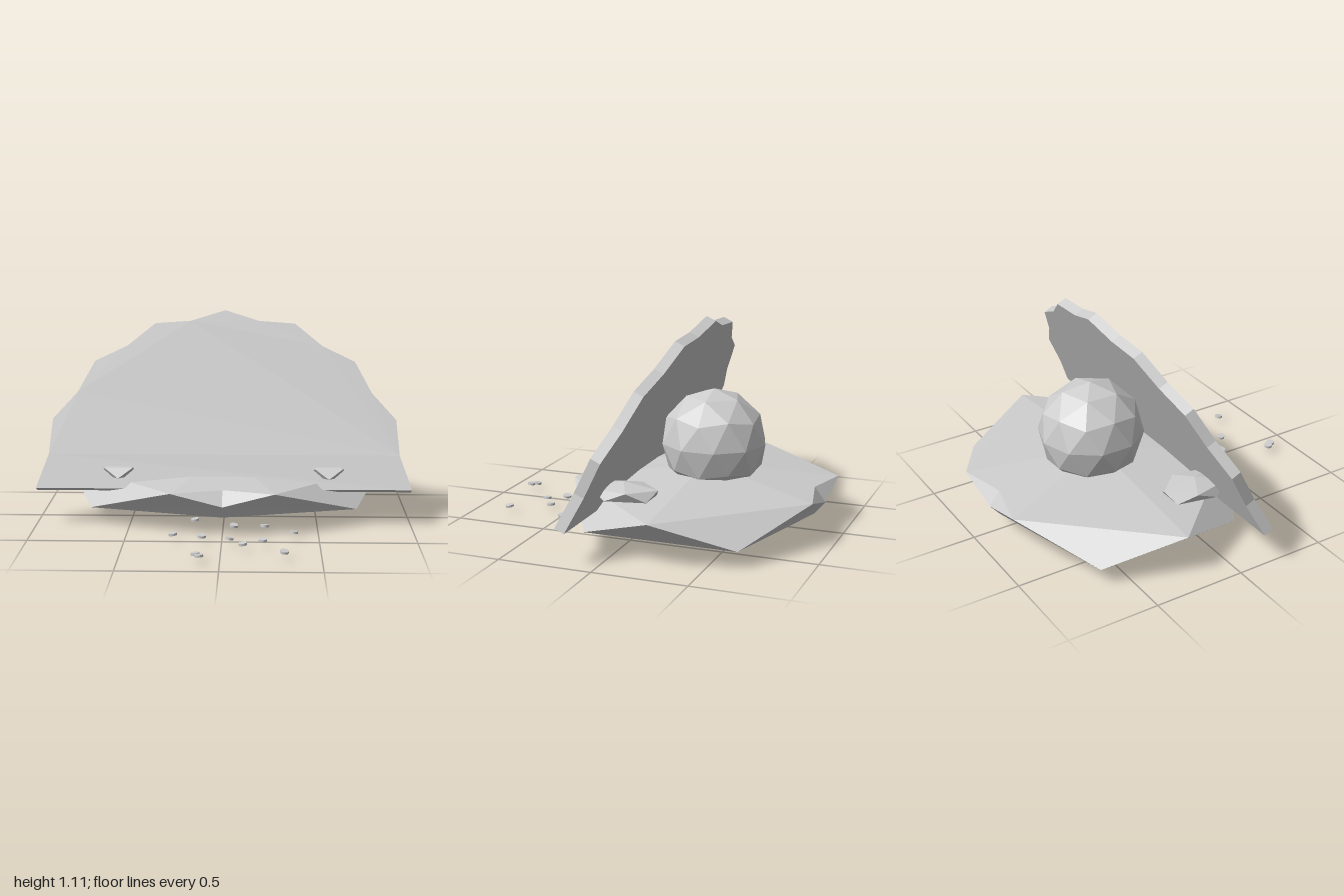
import * as THREE from 'three';

const stone = new THREE.MeshStandardMaterial({ color: 0xcccccc, flatShading: true });
stone.name = 'pale grey';

function addMesh(parent, name, geometry, x = 0, y = 0, z = 0) {
  const mesh = new THREE.Mesh(geometry, stone);
  mesh.name = name;
  mesh.position.set(x, y, z);
  parent.add(mesh);
  return mesh;
}

// Icosphere with a vertex at the top and bottom
function poleIcosphere(radius, detail) {
  return new THREE.IcosahedronGeometry(radius, detail)
    .rotateX(-Math.atan2(0.851, 0.526))
    .rotateY(Math.PI / 2);
}

// Lower shell: one quadrant of facets, mirrored in x and z
function lowerShellGeometry() {
  const v = {
    bottom: [0, 0, 0], low: [0.71, 0.09, 0.408], lowSide: [0.71, 0.09, 0],
    lowFront: [0, 0.09, 0.6], notch: [0, 0.16, 0.66], rim: [0.27, 0.23, 0.66],
    rimSide: [0.875, 0.23, 0], notchTop: [0, 0.237, 0.6], top: [0, 0.31, 0],
  };
  const faces = [
    ['bottom', 'low', 'lowFront'], ['bottom', 'lowSide', 'low'],
    ['lowSide', 'rimSide', 'low'], ['low', 'rim', 'notch'],
    ['low', 'notch', 'lowFront'], ['rimSide', 'rim', 'low'],
    ['notch', 'rim', 'notchTop'], ['top', 'notchTop', 'rim'],
    ['top', 'rim', 'rimSide'],
  ];
  const positions = [];
  for (const sx of [1, -1]) {
    for (const sz of [1, -1]) {
      for (const face of faces) {
        const order = sx * sz > 0 ? face : [...face].reverse();
        for (const key of order) positions.push(v[key][0] * sx, v[key][1], v[key][2] * sz);
      }
    }
  }
  const geometry = new THREE.BufferGeometry();
  geometry.setAttribute('position', new THREE.Float32BufferAttribute(positions, 3));
  geometry.computeVertexNormals();
  return geometry;
}

// Upper shell: scalloped half disc
function upperShellGeometry() {
  const points = [];
  for (let i = 0; i <= 16; i++) {
    const angle = (i / 16) * Math.PI;
    const r = i % 2 ? 0.957 : 1;
    points.push(new THREE.Vector2(Math.cos(angle) * r, Math.sin(angle) * r));
  }
  return new THREE.ExtrudeGeometry(new THREE.Shape(points), { depth: 0.056, bevelEnabled: false })
    .translate(0, 0, -0.056)
    .rotateX(THREE.MathUtils.degToRad(-25));
}

export function createModel() {
  const model = new THREE.Group();
  model.name = 'openClam';

  addMesh(model, 'lowerShell', lowerShellGeometry(), 0, 0, -0.24);
  addMesh(model, 'upperShell', upperShellGeometry(), 0, 0.2, 0.19);
  addMesh(model, 'pearl', poleIcosphere(0.286, 1), 0, 0.435, -0.28);

  // Flattened hinge lumps that poke through the upper shell
  for (const side of [1, -1]) {
    const lump = addMesh(model, side > 0 ? 'leftHinge' : 'rightHinge',
      poleIcosphere(1, 0).rotateY(Math.PI / 2), side * 0.56, 0.28, 0.01);
    lump.scale.set(0.14, 0.055, 0.21);
  }

  // Small tilted pebbles scattered in front
  const pebbles = new THREE.Group();
  pebbles.name = 'pebbles';
  model.add(pebbles);
  const spots = [
    [-0.25, 0.5], [-0.1, 0.53], [0.04, 0.575], [0.21, 0.595], [0.11, 0.665], [0.37, 0.45],
    [0.315, 0.795], [-0.12, 0.84], [-0.1, 0.87], [0.06, 0.33], [0.22, 0.33], [-0.15, 0.22],
  ];
  const pebble = new THREE.CylinderGeometry(0.022, 0.022, 0.012, 16);
  spots.forEach(([x, z], i) => {
    const mesh = addMesh(pebbles, 'pebble', pebble, x, 0.04, z);
    mesh.rotation.set(0.15 * Math.sin(i * 2.3), 0, 0.15 * Math.cos(i * 1.7));
  });

  return model;
}
